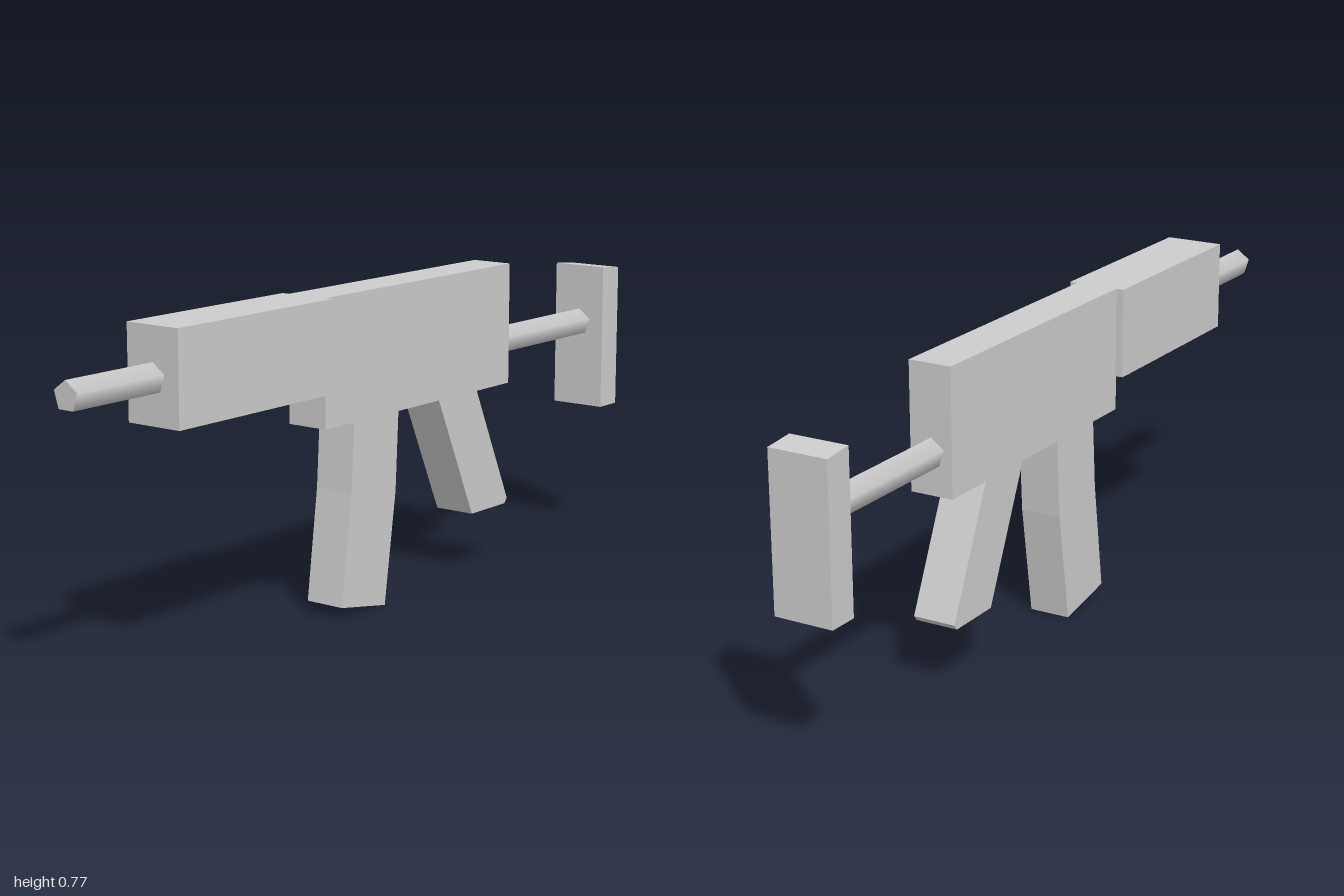
import * as THREE from 'three';

export function createModel() {
  const group = new THREE.Group();
  const grey = new THREE.MeshStandardMaterial({ color: 0xcccccc });
  grey.name = 'light grey';

  const add = (name, geometry) => {
    const mesh = new THREE.Mesh(geometry, grey);
    mesh.name = name;
    group.add(mesh);
  };

  // Side profile given as [z, y] points, extruded evenly about x = 0
  const slab = (name, halfWidth, points) => {
    const shape = new THREE.Shape(points.map(([z, y]) => new THREE.Vector2(z, y)));
    const geometry = new THREE.ExtrudeGeometry(shape, { depth: halfWidth * 2, bevelEnabled: false });
    geometry.translate(0, 0, -halfWidth).rotateY(-Math.PI / 2);
    add(name, geometry);
  };

  // Box spanning z0..z1 and y0..y1
  const block = (name, halfWidth, z0, z1, y0, y1) => {
    const geometry = new THREE.BoxGeometry(halfWidth * 2, y1 - y0, z1 - z0);
    add(name, geometry.translate(0, (y0 + y1) / 2, (z0 + z1) / 2));
  };

  // Five-sided rod along z with one corner pointing up
  const rod = (name, y, z0, z1) => {
    const geometry = new THREE.CylinderGeometry(0.035, 0.035, z1 - z0, 5);
    add(name, geometry.rotateX(-Math.PI / 2).translate(0, y, (z0 + z1) / 2));
  };

  // Body
  block('receiver', 0.054, -0.515, 0.224, 0.47, 0.775);
  block('handguard', 0.0735, 0.222, 0.74, 0.555, 0.775);

  // Rods front and back
  rod('barrel', 0.66, 0.7, 1);
  rod('stockRod', 0.57, -0.93, -0.48);

  // Butt plate with a slightly sloped top
  slab('buttPlate', 0.0735, [[-1, 0.345], [-0.925, 0.345], [-0.925, 0.722], [-1, 0.715]]);

  // Bent magazine
  slab('magazine', 0.052, [
    [0.115, 0.475], [0.126, 0.302], [0.163, 0.03],
    [-0.003, 0], [-0.045, 0.275], [-0.056, 0.475],
  ]);

  // Raked grip with a clipped heel
  slab('grip', 0.054, [
    [-0.217, 0.47], [-0.361, 0.157], [-0.505, 0.157], [-0.515, 0.17], [-0.377, 0.47],
  ]);

  return group;
}
